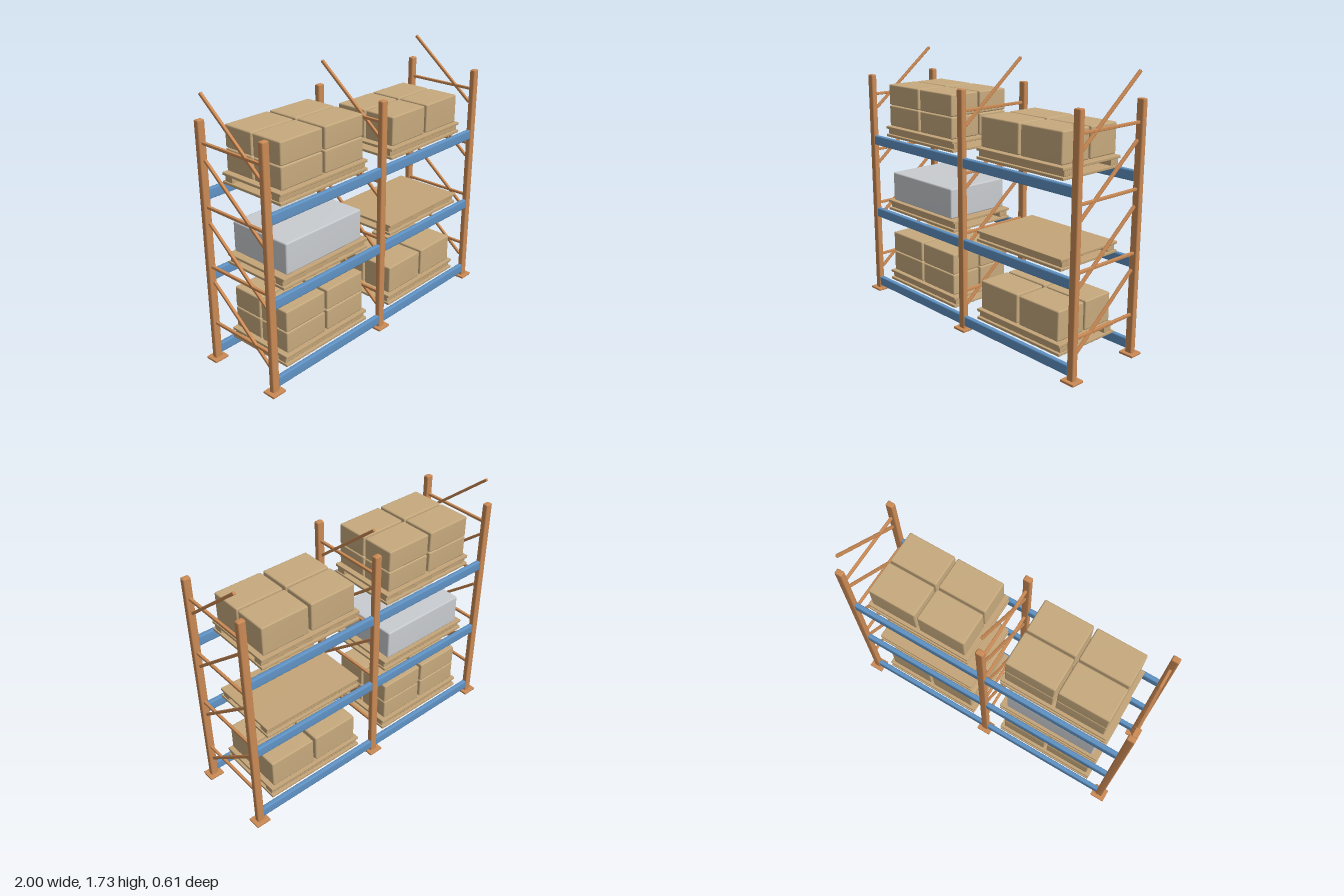
import * as THREE from 'three';
import { mergeVertices } from 'three/addons/utils/BufferGeometryUtils.js';
import { RoundedBoxGeometry } from 'three/addons/geometries/RoundedBoxGeometry.js';

const mat = (name, color) => new THREE.MeshStandardMaterial({ name, color });

// Box with a softened edge and blended normals
function softBox(w, h, d, r) {
  const g = new RoundedBoxGeometry(w, h, d, 1, r);
  g.deleteAttribute('uv');
  g.deleteAttribute('normal');
  const merged = mergeVertices(g);
  merged.computeVertexNormals();
  return merged;
}

export function createModel() {
  const orange = mat('orange steel', 0xcb8a55);
  const blue = mat('blue steel', 0x5f92c4);
  const wood = mat('pallet wood', 0xc4a578);
  const card = mat('cardboard', 0xc7aa7e);
  const grey = mat('grey wrap', 0xc9ccd0);

  const add = (parent, name, geo, material, x, y, z) => {
    const m = new THREE.Mesh(geo, material);
    m.name = name;
    m.position.set(x, y, z);
    parent.add(m);
    return m;
  };
  const group = (parent, name, x = 0, y = 0, z = 0) => {
    const g = new THREE.Group();
    g.name = name;
    g.position.set(x, y, z);
    parent.add(g);
    return g;
  };

  const model = new THREE.Group();
  model.name = 'palletRack';
  const postZ = 0.262, step = 0.39;

  // Upright frames: posts, feet, horizontal and diagonal braces
  const post = softBox(0.05, 1.565, 0.038, 0.008);
  const foot = softBox(0.1, 0.015, 0.088, 0.003);
  const strut = softBox(0.018, 0.018, 0.488, 0.003);
  const rise = 0.193, run = 0.235;
  const diagonal = softBox(0.018, 0.018, 2 * Math.hypot(rise, run), 0.003);
  for (const x of [-0.95, 0, 0.95]) {
    const frame = group(model, 'uprightFrame', x);
    for (const s of [-1, 1]) {
      add(frame, 'post', post, orange, 0, 0.7875, s * postZ);
      add(frame, 'footPlate', foot, orange, 0, 0.0075, s * postZ);
    }
    for (let i = 0; i < 4; i++) {
      add(frame, 'horizontalBrace', strut, orange, 0, 0.265 + i * step, 0);
      const d = add(frame, 'diagonalBrace', diagonal, orange, 0, 0.362 + i * step, 0);
      d.rotation.x = Math.atan2(rise, run);
    }
  }

  // Load beams, one front and back per bay and level
  const levels = [0.1, 0.625, 1.15];
  const beam = softBox(0.91, 0.066, 0.032, 0.008);
  for (const top of levels)
    for (const sx of [-1, 1])
      for (const sz of [-1, 1])
        add(model, 'loadBeam', beam, blue, sx * 0.475, top - 0.033, sz * postZ);

  // Pallets with two runners, and their loads
  const board = softBox(0.717, 0.018, 0.488, 0.003);
  const runner = softBox(0.705, 0.036, 0.063, 0.003);
  const smallCarton = softBox(0.324, 0.14, 0.222, 0.009);
  const tallCarton = softBox(0.324, 0.19, 0.222, 0.009);
  const wrapped = softBox(0.634, 0.2, 0.456, 0.01);

  const stackCartons = (parent, geo, h, layers) => {
    for (let k = 0; k < layers; k++)
      for (const sx of [-1, 1])
        for (const sz of [-1, 1])
          add(parent, 'carton', geo, card, sx * 0.171, 0.078 + h / 2 + k * (h + 0.003), sz * 0.117);
  };

  levels.forEach((top, level) => {
    for (const side of [-1, 1]) {
      const load = group(model, 'palletLoad', side * 0.471, top + 0.004, 0);
      const pallet = group(load, 'pallet');
      add(pallet, 'bottomBoard', board, wood, 0, 0.009, 0);
      add(pallet, 'topBoard', board, wood, 0, 0.063, 0);
      for (const s of [-1, 1]) add(pallet, 'runner', runner, wood, 0, 0.036, s * 0.196);

      if (level !== 1) {
        if (side < 0) stackCartons(load, smallCarton, 0.14, 2);
        else stackCartons(load, tallCarton, 0.19, 1);
      } else if (side < 0) {
        add(load, 'wrappedLoad', wrapped, grey, 0, 0.176, 0);
      }
    }
  });

  return model;
}
